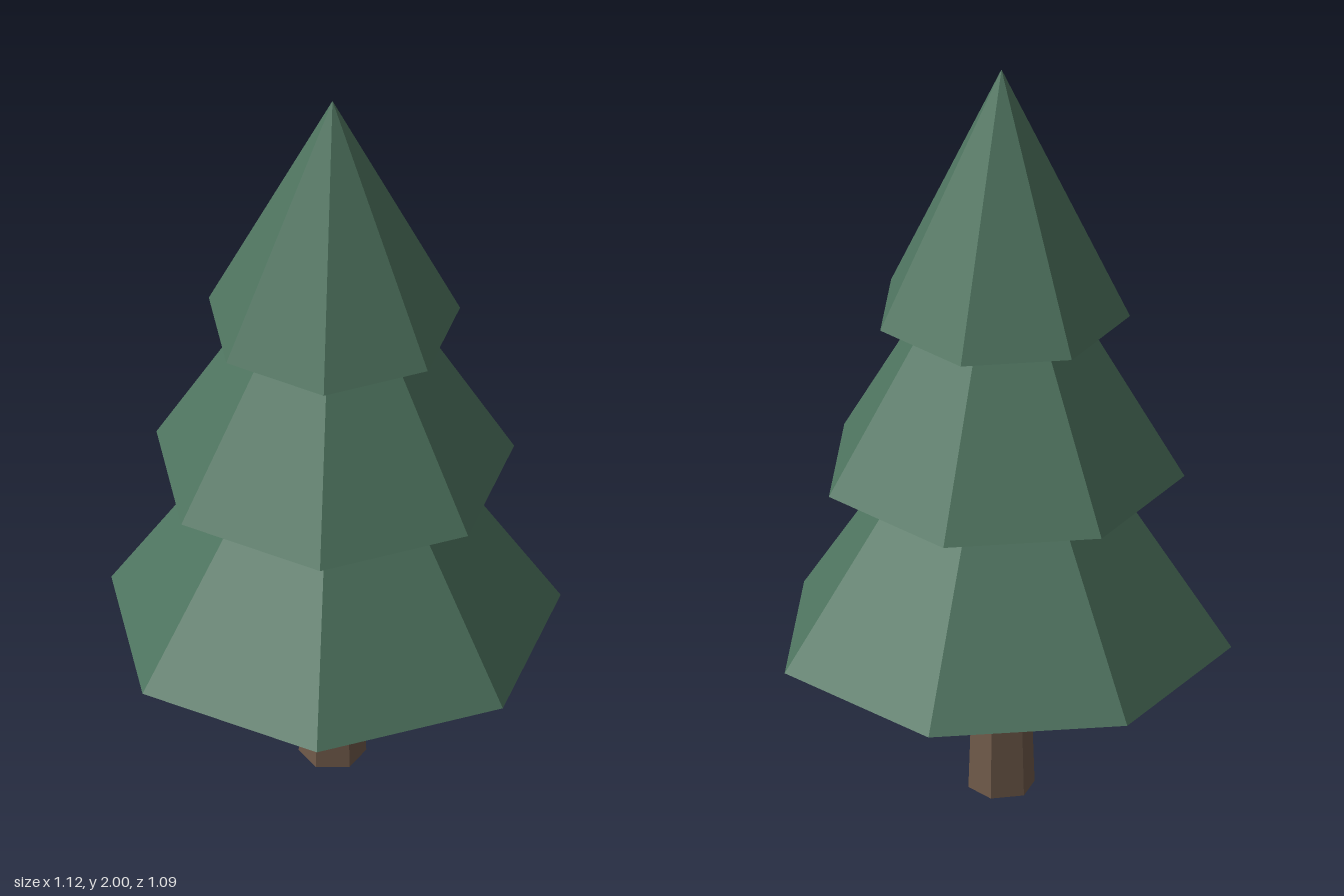
import * as THREE from 'three';

export function createModel() {
  const tree = new THREE.Group();
  tree.name = 'pineTree';

  const needles = new THREE.MeshStandardMaterial({ color: 0x4f7560 });
  needles.name = 'needleGreen';
  needles.flatShading = true;
  const bark = new THREE.MeshStandardMaterial({ color: 0x705a4a });
  bark.name = 'barkBrown';
  bark.flatShading = true;

  const axisZ = 0.027; // the seven-sided outline is centred, its axis is not

  // Tapered six-sided trunk
  const trunkHeight = 0.42;
  const trunk = new THREE.Mesh(new THREE.CylinderGeometry(0.07, 0.084, trunkHeight, 6), bark);
  trunk.name = 'trunk';
  trunk.position.set(0, trunkHeight / 2, axisZ);
  tree.add(trunk);

  // Three overlapping seven-sided cones, one corner pointing back
  const tiers = [
    { name: 'lowerBranches', radius: 0.574, base: 0.412, height: 0.885 },
    { name: 'middleBranches', radius: 0.457, base: 0.885, height: 0.79 },
    { name: 'topBranches', radius: 0.321, base: 1.326, height: 0.674 },
  ];
  for (const { name, radius, base, height } of tiers) {
    const tier = new THREE.Mesh(new THREE.ConeGeometry(radius, height, 7), needles);
    tier.name = name;
    tier.position.set(0, base + height / 2, axisZ);
    tier.rotation.y = Math.PI;
    tree.add(tier);
  }

  return tree;
}
